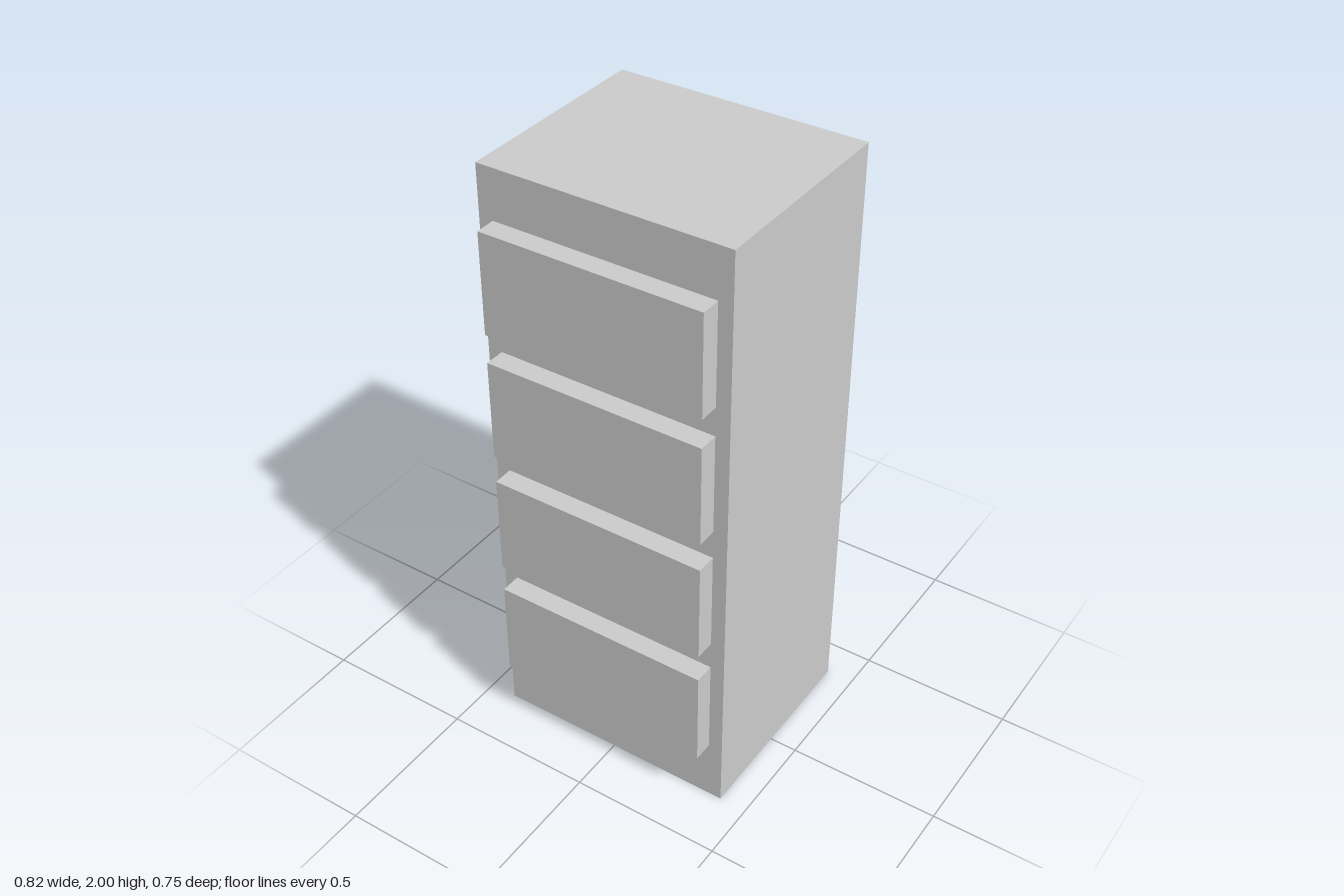
import * as THREE from 'three';

const material = new THREE.MeshStandardMaterial({ color: 0xcccccc, flatShading: true });

function box(name, width, height, depth, x, y, z) {
  const mesh = new THREE.Mesh(new THREE.BoxGeometry(width, height, depth), material);
  mesh.name = name;
  mesh.position.set(x, y, z);
  return mesh;
}

export function createModel() {
  const group = new THREE.Group();
  group.name = 'filingCabinet';

  // Cabinet body
  const back = -0.376, front = 0.308;
  group.add(box('cabinetBody', 0.818, 2, front - back, 0, 1, (front + back) / 2));

  // Four evenly spaced drawer fronts, set slightly into the body
  const drawerFace = 0.375, inset = 0.01;
  const drawerDepth = drawerFace - front + inset;
  for (let i = 0; i < 4; i++) {
    const y = 0.382 + i * 0.429;
    group.add(box(`drawer${i + 1}`, 0.724, 0.334, drawerDepth, 0, y, drawerFace - drawerDepth / 2));
  }
  return group;
}
